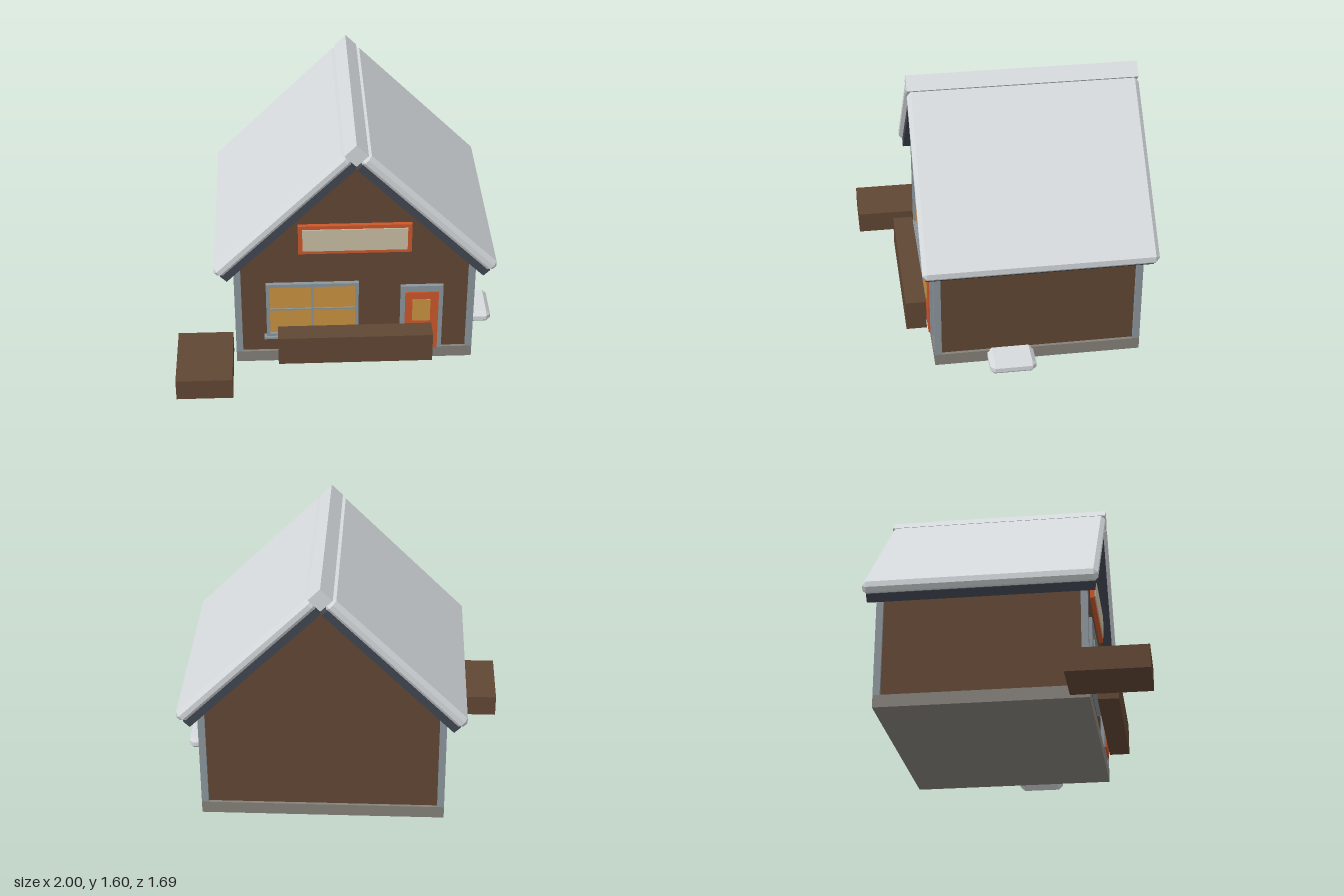
import * as THREE from 'three';
import { ConvexGeometry } from 'three/addons/geometries/ConvexGeometry.js';

const CX = 0.1;             // house axis in x
const CZ = -0.147;          // house centre in z
const BASE_TOP = 0.077;

const mat = (name, color) => {
  const m = new THREE.MeshStandardMaterial({ color });
  m.name = name;
  return m;
};

export function createModel() {
  const model = new THREE.Group();
  model.name = 'cabin';

  const wood = mat('brown wood', 0x614734);
  const stone = mat('grey stone', 0x85817a);
  const trim = mat('blue grey trim', 0x8b969d);
  const slate = mat('dark slate', 0x414751);
  const snow = mat('snow', 0xd6dadd);
  const orange = mat('orange paint', 0xcc572c);
  const glass = mat('amber glass', 0xcb9340);
  const cream = mat('cream panel', 0xcbbfa6);

  const add = (parent, name, geometry, material) => {
    const mesh = new THREE.Mesh(geometry, material);
    mesh.name = name;
    parent.add(mesh);
    return mesh;
  };

  // Box given by its extents on each axis
  const box = (parent, name, material, x0, x1, y0, y1, z0, z1) => {
    const mesh = add(parent, name, new THREE.BoxGeometry(x1 - x0, y1 - y0, z1 - z0), material);
    mesh.position.set((x0 + x1) / 2, (y0 + y1) / 2, (z0 + z1) / 2);
    return mesh;
  };

  // Box with all edges cut at 45 degrees
  const chamferBox = (w, h, d, c) => {
    const points = [];
    const half = [w / 2, h / 2, d / 2];
    for (const sx of [-1, 1]) for (const sy of [-1, 1]) for (const sz of [-1, 1]) {
      for (let full = 0; full < 3; full++) {
        const p = half.map((v, i) => (i === full ? v : v - c));
        points.push(new THREE.Vector3(p[0] * sx, p[1] * sy, p[2] * sz));
      }
    }
    return new ConvexGeometry(points);
  };

  // Stone base
  box(model, 'foundation', stone, CX - 0.737, CX + 0.737, 0, BASE_TOP, -0.775, 0.481);

  // Gabled walls
  const halfW = 0.718, apex = 1.455;
  const gable = new THREE.Shape([
    new THREE.Vector2(-halfW, BASE_TOP),
    new THREE.Vector2(halfW, BASE_TOP),
    new THREE.Vector2(halfW, apex - halfW),
    new THREE.Vector2(0, apex),
    new THREE.Vector2(-halfW, apex - halfW),
  ]);
  const wallDepth = 1.22;
  const walls = add(model, 'walls',
    new THREE.ExtrudeGeometry(gable, { depth: wallDepth, bevelEnabled: false }), wood);
  walls.position.set(CX, 0, CZ - wallDepth / 2);

  // Corner posts
  for (const sx of [-1, 1]) for (const sz of [-1, 1]) {
    const post = add(model, 'cornerPost', new THREE.BoxGeometry(0.042, 0.71 - BASE_TOP, 0.042), trim);
    post.position.set(CX + sx * 0.716, (0.71 + BASE_TOP) / 2, CZ + sz * 0.607);
  }

  // Roof halves: local x runs up the slope, local y points out of it
  for (const side of [-1, 1]) {
    const half = new THREE.Group();
    half.name = side < 0 ? 'rightRoof' : 'leftRoof';
    half.position.set(CX, 0, CZ);
    half.rotation.y = side < 0 ? 0 : Math.PI;
    const slope = new THREE.Group();
    slope.name = 'roofSlope';
    slope.rotation.z = Math.PI / 4;
    half.add(slope);
    add(slope, 'roofBoard', new THREE.BoxGeometry(1.09, 0.055, 1.352), slate).position.set(0.457, 1.0375, 0);
    add(slope, 'roofSnow', chamferBox(1.13, 0.081, 1.395, 0.025), snow).position.set(0.47, 1.0955, 0);
    model.add(half);
  }

  // Ridge beam set on its edge
  const ridge = add(model, 'ridgeCap', new THREE.BoxGeometry(0.1, 0.1, 1.395), snow);
  ridge.position.set(CX, 1.53, CZ);
  ridge.rotation.z = Math.PI / 4;

  // Window with bars and sill
  const win = new THREE.Group();
  win.name = 'window';
  model.add(win);
  const zw = 0.455;
  box(win, 'windowGlass', glass, -0.43, 0.11, 0.2, 0.575, zw, 0.474);
  box(win, 'windowFrameTop', trim, -0.444, 0.124, 0.567, 0.589, zw, 0.488);
  box(win, 'windowFrameBottom', trim, -0.444, 0.124, 0.198, 0.218, zw, 0.488);
  for (const x of [-0.444, 0.102]) {
    box(win, 'windowFrameSide', trim, x, x + 0.022, 0.218, 0.567, zw, 0.488);
  }
  box(win, 'windowMullion', trim, -0.167, -0.153, 0.218, 0.567, zw, 0.482);
  box(win, 'windowCrossbar', trim, -0.422, 0.102, 0.389, 0.401, zw, 0.481);
  box(win, 'windowSill', trim, -0.46, 0.14, 0.186, 0.2, zw, 0.503);

  // Door
  const door = new THREE.Group();
  door.name = 'door';
  model.add(door);
  box(door, 'doorFrame', trim, 0.382, 0.644, BASE_TOP, 0.553, zw, 0.487);
  box(door, 'doorLeaf', orange, 0.41, 0.616, 0.082, 0.513, zw, 0.497);
  box(door, 'doorGlass', glass, 0.455, 0.565, 0.303, 0.46, 0.496, 0.504);

  // Blank board over the front
  const board = new THREE.Group();
  board.name = 'gableBoard';
  model.add(board);
  box(board, 'boardFrame', orange, -0.243, 0.441, 0.813, 1.012, zw, 0.489);
  box(board, 'boardPanel', cream, -0.217, 0.415, 0.836, 0.988, 0.488, 0.495);

  // Wooden boxes outside
  box(model, 'planter', wood, -0.375, 0.575, 0.09, 0.285, 0.505, 0.63);
  box(model, 'crate', wood, -1, -0.656, 0.01, 0.148, 0.37, 0.845);

  // Snow heap by the left wall
  const heap = add(model, 'snowHeap', chamferBox(0.2, 0.082, 0.28, 0.027), snow);
  heap.position.set(0.9, 0.048, 0.023);

  return model;
}
